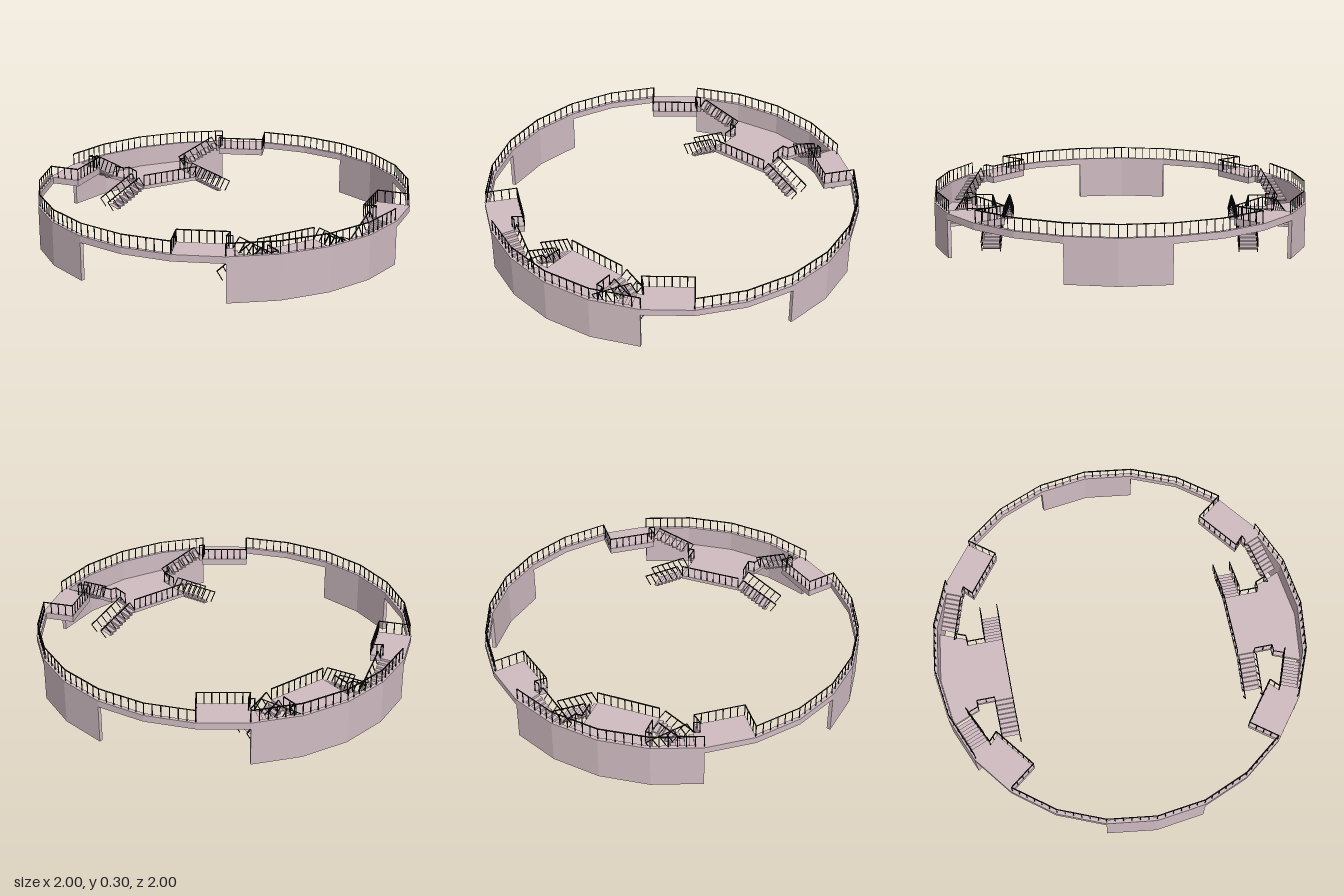
import * as THREE from 'three';
import { mergeGeometries } from 'three/addons/utils/BufferGeometryUtils.js';

const V = (x, y, z) => new THREE.Vector3(x, y, z);
const STONE = new THREE.MeshStandardMaterial({ color: 0xd0bcc2, flatShading: true });
const IRON = new THREE.MeshStandardMaterial({ color: 0x141414 });
const R_OUT = 1, R_IN = 0.98, R_RAIL = 0.99;
const DECK = 0.235, DECK_BASE = 0.2, LANDING = 0.12, RAIL_H = 0.063;
const STEP = Math.PI / 12; // the ring has 24 sides

// Point on the ring; index 0 lies on +z, index 6 on +x
const ringPoint = (r, i) => [r * Math.sin(i * STEP), r * Math.cos(i * STEP)];

function ringPoints(r, from, to) {
  const pts = [];
  for (let i = from; i <= to; i++) pts.push(ringPoint(r, i));
  return pts;
}

function named(geometry, material, name) {
  const mesh = new THREE.Mesh(geometry, material);
  mesh.name = name;
  return mesh;
}

// Upright prism over an [x, z] outline
function prism(outline, y0, y1, name, hole) {
  const flat = (pts) => pts.map(([x, z]) => new THREE.Vector2(x, -z));
  const shape = new THREE.Shape(flat(outline));
  if (hole) shape.holes.push(new THREE.Path(flat(hole)));
  const geo = new THREE.ExtrudeGeometry(shape, { depth: y1 - y0, bevelEnabled: false });
  geo.rotateX(-Math.PI / 2).translate(0, y0, 0);
  return named(geo, STONE, name);
}

// Square bar between two points
function bar(a, b, t = 0.005) {
  const dir = b.clone().sub(a);
  const geo = new THREE.BoxGeometry(t, dir.length(), t);
  const turn = new THREE.Quaternion().setFromUnitVectors(V(0, 1, 0), dir.normalize());
  geo.applyQuaternion(turn);
  const mid = a.clone().add(b).multiplyScalar(0.5);
  return geo.translate(mid.x, mid.y, mid.z);
}

// Handrail with balusters standing square to each stretch of the path
function railing(path, name) {
  const parts = [];
  for (let i = 0; i + 1 < path.length; i++) {
    const [a, b] = [path[i], path[i + 1]];
    const dir = b.clone().sub(a);
    const count = Math.max(1, Math.round(dir.length() / 0.04));
    const unit = dir.clone().normalize();
    const up = V(0, 1, 0).addScaledVector(unit, -unit.y).setLength(RAIL_H);
    parts.push(bar(a.clone().add(up), b.clone().add(up)));
    for (let k = 0; k <= count; k++) {
      const foot = a.clone().lerp(b, k / count);
      parts.push(bar(foot, foot.clone().add(up), 0.004));
    }
  }
  return named(mergeGeometries(parts), IRON, name);
}

// Folded stair slab going down from the middle of its top edge along dir
function stairs(top, dir, run, drop, width, name) {
  const n = 9, r = run / n, h = drop / n, d = 0.006;
  const line = [[0, 0]];
  for (let i = 0; i < n - 1; i++) line.push([i * r, -(i + 1) * h], [(i + 1) * r, -(i + 1) * h]);
  const under = line.map(([x, y]) => [x - d, y - d]).reverse();
  const shape = new THREE.Shape([...line, ...under].map(([x, y]) => new THREE.Vector2(x, y)));
  const geo = new THREE.ExtrudeGeometry(shape, { depth: width, bevelEnabled: false });
  geo.translate(0, 0, -width / 2);
  const up = V(0, 1, 0);
  const basis = new THREE.Matrix4().makeBasis(dir, up, dir.clone().cross(up));
  geo.applyMatrix4(basis.setPosition(top));
  return named(geo, STONE, name);
}

// Local frame of a ring side: t runs from vertex i towards vertex j, d runs inwards
function sideFrame(i, j) {
  const [ax, az] = ringPoint(R_OUT, i), [bx, bz] = ringPoint(R_OUT, j);
  const len = Math.hypot(bx - ax, bz - az);
  const u = [(bx - ax) / len, (bz - az) / len];
  const m = Math.hypot(ax + bx, az + bz);
  const n = [-(ax + bx) / m, -(az + bz) / m];
  return { len, u, at: (t, d) => [ax + u[0] * t + n[0] * d, az + u[1] * t + n[1] * d] };
}

export function createModel() {
  const model = new THREE.Group();
  model.name = 'ringWalkway';

  // Raised ring and the four walls carrying it
  model.add(prism(ringPoints(R_OUT, 0, 23), DECK_BASE, DECK, 'ringBeam', ringPoints(R_IN, 0, 23)));
  const walls = [['frontWall', 0, 2], ['leftWall', 6, 1], ['backWall', 12, 2], ['rightWall', 18, 1]];
  for (const [name, mid, half] of walls) {
    const outline = [...ringPoints(R_OUT, mid - half, mid + half),
      ...ringPoints(R_IN, mid - half, mid + half).reverse()];
    model.add(prism(outline, 0, DECK_BASE, name));
  }

  // Ring railings, open where the four platforms join
  for (const [from, to] of [[-2, 2], [3, 9], [10, 14], [15, 21]]) {
    const path = ringPoints(R_RAIL, from, to).map(([x, z]) => V(x, DECK, z));
    model.add(railing(path, 'ringRailing'));
  }

  const side = sideFrame(2, 1);     // side holding the upper stairs
  const plat = sideFrame(2, 3);     // side holding the platform
  const T0 = 0.05, T1 = 0.25, W = 0.112, DEPTH = 0.175;
  const Z0 = 0.615, Z1 = 0.71, X0 = 0.17, RUN = 0.2;
  const inner = [[X0, Z1], [X0, 0.805], [0.205, 0.805], side.at(T1, W)];

  for (const sz of [1, -1]) {
    const end = sz > 0 ? 'front' : 'back';

    // Middle landing against the wall
    const half = [[X0, Z0], ...inner, side.at(T1, 0.02), ringPoint(R_IN, 1)];
    const mirrored = half.map(([x, z]) => [-x, z]).reverse();
    const outline = [...half, [0, R_IN], ...mirrored].map(([x, z]) => [x, z * sz]);
    model.add(prism(outline, LANDING - 0.02, LANDING, end + 'Landing'));
    model.add(railing([V(-X0, LANDING, Z0 * sz), V(X0, LANDING, Z0 * sz)], end + 'LandingRailing'));

    for (const sx of [1, -1]) {
      const place = ([x, z], y) => V(x * sx, y, z * sz);
      const group = new THREE.Group();
      group.name = end + (sx > 0 ? 'Left' : 'Right') + 'Access';

      // Upper platform, with the wedge that meets the stairs
      const platform = [plat.at(0, 0), plat.at(plat.len, 0), plat.at(plat.len, DEPTH),
        plat.at(0, DEPTH), side.at(0.0187, W), side.at(T0, W), side.at(T0, 0.01)];
      group.add(prism(platform.map(([x, z]) => [x * sx, z * sz]), DECK_BASE, DECK, 'platform'));

      // Upper and lower flights
      const along = V(side.u[0] * sx, 0, side.u[1] * sz);
      group.add(stairs(place(side.at(T0, (W + 0.02) / 2), DECK), along,
        T1 - T0, DECK - LANDING, W - 0.02, 'upperStairs'));
      group.add(stairs(place([X0, (Z0 + Z1) / 2], LANDING), V(sx, 0, 0),
        RUN, LANDING, Z1 - Z0, 'lowerStairs'));

      // Railing from the landing up the flight and round the platform
      group.add(railing([
        ...inner.map((p) => place(p, LANDING)),
        ...[side.at(T0, W), side.at(0.0187, W), plat.at(0, DEPTH),
          plat.at(plat.len, DEPTH), plat.at(plat.len, 0.01)].map((p) => place(p, DECK)),
      ], 'platformRailing'));

      // Railings of the lower flight
      for (const z of [Z0, Z1]) {
        group.add(railing([place([X0, z], LANDING), place([X0 + RUN, z], 0.004)], 'lowerStairRailing'));
      }
      model.add(group);
    }
  }
  return model;
}
